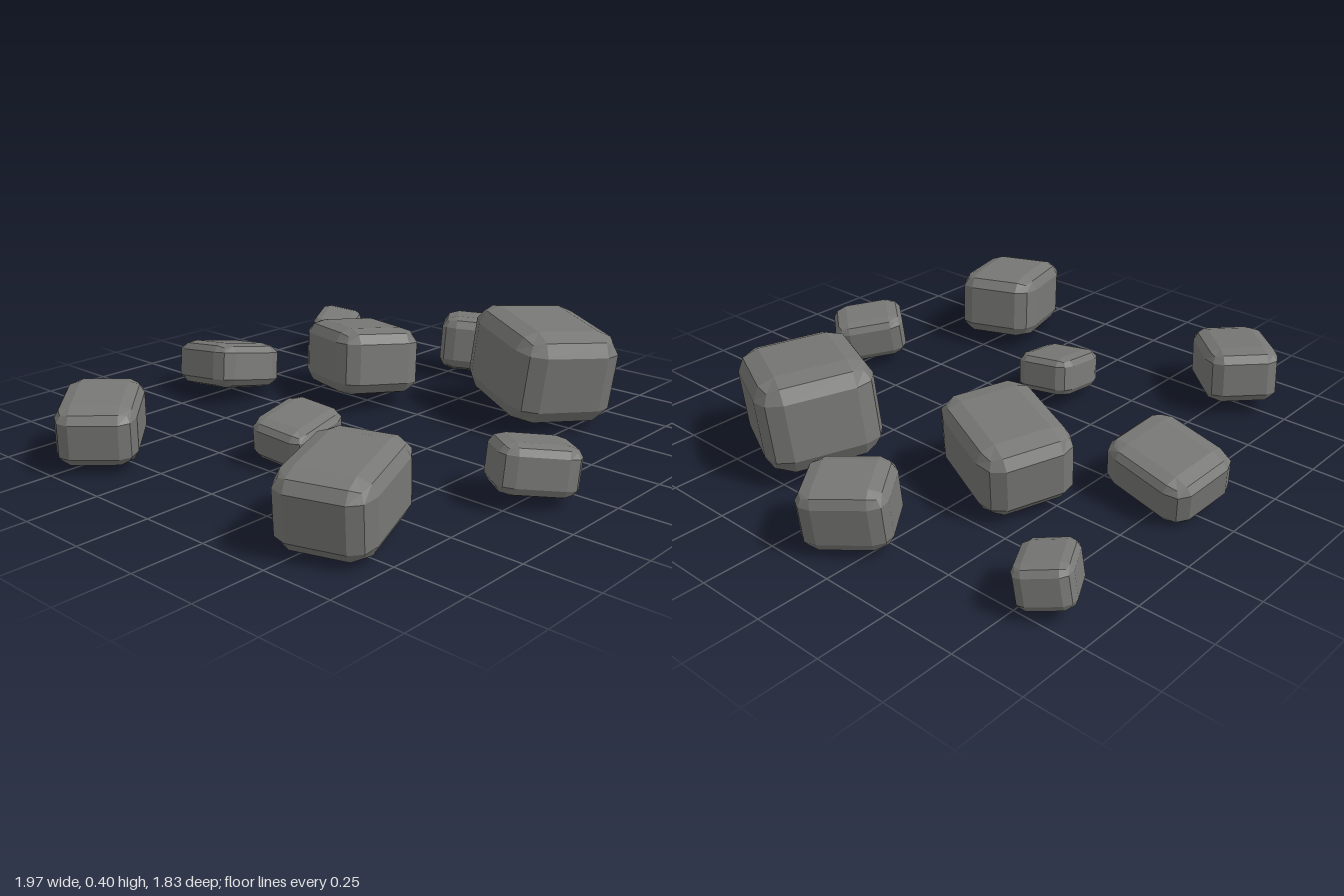
import * as THREE from 'three';

// Block with a flat panel on each face, shallow slopes to blunt edges and clipped corners
function stoneGeometry(w, h, d) {
  const geo = new THREE.BoxGeometry(2, 2, 2, 3, 3, 3);
  const pos = geo.attributes.position;
  const edge = [0, 1, 0.88, 0.8]; // reach by number of outer coordinates
  const panel = 0.6;
  for (let i = 0; i < pos.count; i++) {
    const v = [pos.getX(i), pos.getY(i), pos.getZ(i)];
    const outer = v.filter((c) => Math.abs(c) > 0.9).length;
    const p = v.map((c) => Math.sign(c) * (Math.abs(c) > 0.9 ? edge[outer] : panel));
    pos.setXYZ(i, p[0] * w / 2, p[1] * h / 2, p[2] * d / 2);
  }
  const flat = geo.toNonIndexed();
  flat.computeVertexNormals();
  return flat;
}

// centre, size, yaw, and slope of the top along x and z
const STONES = [
  { name: 'largeStone', at: [0.545, 0.224, 0.34], size: [0.4, 0.335, 0.48], yaw: -0.475, slope: [-0.04, -0.12] },
  { name: 'frontLeftwardStone', at: [-0.71, 0.165, 0.53], size: [0.41, 0.25, 0.31], yaw: 0.34, slope: [0.08, -0.05] },
  { name: 'backCornerStone', at: [-0.79, 0.15, -0.5], size: [0.265, 0.2, 0.35], yaw: -0.785, slope: [0.05, -0.07] },
  { name: 'backStone', at: [-0.025, 0.13, -0.73], size: [0.28, 0.17, 0.34], yaw: -0.13, slope: [-0.2, 0.13] },
  { name: 'smallBackStone', at: [0.66, 0.118, -0.8], size: [0.215, 0.145, 0.18], yaw: 0.52, slope: [0, -0.2] },
  { name: 'middleStone', at: [0.28, 0.178, -0.31], size: [0.325, 0.25, 0.43], yaw: -0.41, slope: [-0.12, 0.06] },
  { name: 'sideStone', at: [0.815, 0.15, -0.155], size: [0.245, 0.215, 0.285], yaw: 0.61, slope: [-0.12, 0] },
  { name: 'smallInnerStone', at: [-0.37, 0.116, 0], size: [0.25, 0.145, 0.225], yaw: 0.1, slope: [0.15, -0.12] },
  { name: 'smallFrontStone', at: [-0.12, 0.132, 0.765], size: [0.265, 0.165, 0.215], yaw: -0.69, slope: [-0.16, 0] },
];

export function createModel() {
  const group = new THREE.Group();
  group.name = 'stones';
  const stone = new THREE.MeshStandardMaterial({ color: 0x777775 });
  stone.name = 'stoneGrey';
  const up = new THREE.Vector3(0, 1, 0);

  for (const s of STONES) {
    const mesh = new THREE.Mesh(stoneGeometry(...s.size), stone);
    mesh.name = s.name;
    mesh.position.set(...s.at);
    // turn about the vertical, then lean with the ground
    const normal = new THREE.Vector3(-s.slope[0], 1, -s.slope[1]).normalize();
    mesh.quaternion.setFromUnitVectors(up, normal)
      .multiply(new THREE.Quaternion().setFromAxisAngle(up, s.yaw));
    group.add(mesh);
  }
  return group;
}
